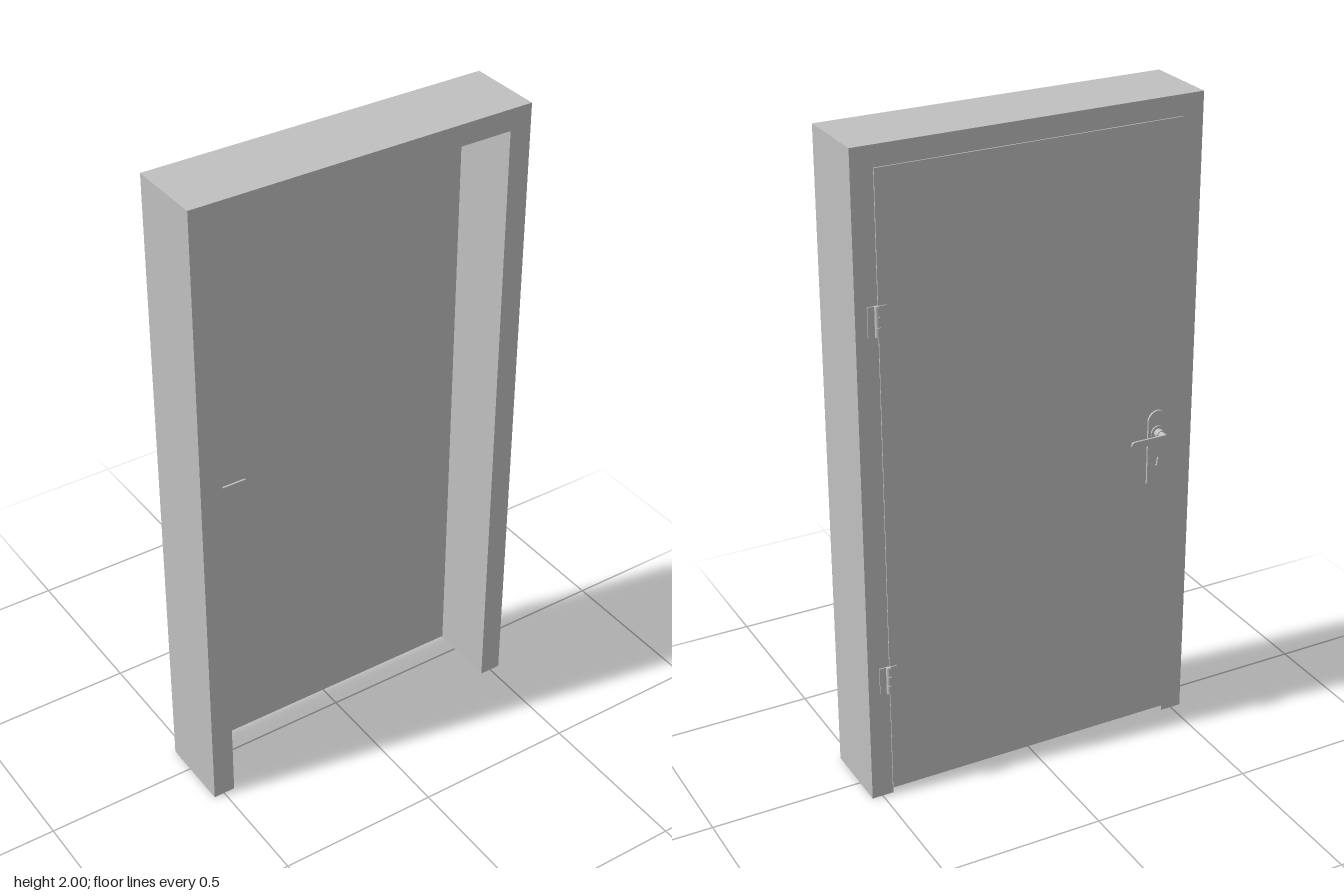
import * as THREE from 'three';

const steel = new THREE.MeshStandardMaterial({ color: 0xc0c0c0, side: THREE.DoubleSide });
steel.name = 'light grey steel';

const BACK = -0.09, FRONT = 0.145;        // frame depth
const W = 0.533, H = 2, IW = 0.465, IH = 1.935; // outer and opening half width, height
const LEAF_BACK = -0.094, LEAF_FRONT = -0.055;
const HANDLE_X = -0.411, HANDLE_Y = 0.99;

function add(parent, name, geometry, x = 0, y = 0, z = 0) {
  const mesh = new THREE.Mesh(geometry, steel);
  mesh.name = name;
  mesh.position.set(x, y, z);
  parent.add(mesh);
  return mesh;
}

function box(parent, name, x0, x1, y0, y1, z0, z1) {
  return add(parent, name, new THREE.BoxGeometry(x1 - x0, y1 - y0, z1 - z0),
    (x0 + x1) / 2, (y0 + y1) / 2, (z0 + z1) / 2);
}

// Flat strip running along an open path in x/y, spanning the frame depth
function wall(points) {
  const pos = [];
  for (let i = 0; i + 1 < points.length; i++) {
    const [ax, ay] = points[i], [bx, by] = points[i + 1];
    pos.push(ax, ay, FRONT, bx, by, BACK, bx, by, FRONT,
      ax, ay, FRONT, ax, ay, BACK, bx, by, BACK);
  }
  const g = new THREE.BufferGeometry();
  g.setAttribute('position', new THREE.Float32BufferAttribute(pos, 3));
  g.computeVertexNormals();
  return g;
}

// Hollow sheet metal frame, open at the foot of each jamb
function makeFrame() {
  const frame = new THREE.Group();
  frame.name = 'frame';
  const outer = [[-W, 0], [-W, H], [W, H], [W, 0]];
  const inner = [[IW, 0], [IW, IH], [-IW, IH], [-IW, 0]];
  const face = new THREE.ShapeGeometry(
    new THREE.Shape([...outer, ...inner].map(p => new THREE.Vector2(...p))));
  add(frame, 'frameFrontFace', face, 0, 0, FRONT);
  add(frame, 'frameBackFace', face, 0, 0, BACK).rotation.y = Math.PI;
  add(frame, 'frameOuterWall', wall(outer));
  add(frame, 'frameInnerWall', wall(inner));
  return frame;
}

// Plate with arched top and keyhole, neck and flat lever; built facing +z
function makeHandle(name) {
  const g = new THREE.Group();
  g.name = name;
  const r = 0.031, top = 1.06 - HANDLE_Y - r, bottom = 0.825 - HANDLE_Y;
  const s = new THREE.Shape();
  s.moveTo(-r, bottom);
  s.lineTo(r, bottom);
  s.lineTo(r, top);
  s.absarc(0, top, r, 0, Math.PI, false);
  s.closePath();
  const key = new THREE.Path();
  key.moveTo(-0.0035, -0.108);
  key.lineTo(-0.0035, -0.09);
  key.absarc(0, -0.085, 0.0065, Math.PI * 1.32, -Math.PI * 0.32, true);
  key.lineTo(0.0035, -0.108);
  key.closePath();
  s.holes.push(key);
  add(g, 'handlePlate', new THREE.ExtrudeGeometry(s,
    { depth: 0.006, bevelEnabled: false, curveSegments: 16 }));
  const round = (part, radius, z0, z1) => {
    add(g, part, new THREE.CylinderGeometry(radius, radius, z1 - z0, 24),
      0, 0, (z0 + z1) / 2).rotation.x = Math.PI / 2;
  };
  round('rosette', 0.022, 0, 0.01);
  round('neck', 0.014, 0.01, 0.028);
  round('neckEnd', 0.011, 0.028, 0.05);
  // Lever: long rounded bar
  const h = 0.0105, end = 0.114 - h;
  const bar = new THREE.Shape();
  bar.absarc(0, 0, h, Math.PI / 2, Math.PI * 1.5, false);
  bar.absarc(end, 0, h, -Math.PI / 2, Math.PI / 2, false);
  add(g, 'lever', new THREE.ExtrudeGeometry(bar,
    { depth: 0.006, bevelEnabled: false, curveSegments: 10 }), 0, 0, 0.047);
  return g;
}

// Barrel of three knuckles with a leaf on the door and one on the frame
function makeHinge(y) {
  const g = new THREE.Group();
  g.name = 'hinge';
  g.position.y = y;
  for (const i of [-1, 0, 1]) {
    add(g, 'knuckle', new THREE.CylinderGeometry(0.0075, 0.0075, 0.027, 16), 0.472, i * 0.03, -0.098);
  }
  add(g, 'hingePin', new THREE.CylinderGeometry(0.005, 0.005, 0.09, 12), 0.472, 0, -0.098);
  box(g, 'hingeDoorLeaf', 0.444, 0.472, -0.043, 0.043, -0.097, -0.093);
  box(g, 'hingeFrameLeaf', 0.472, 0.498, -0.043, 0.043, -0.0935, -0.0895);
  return g;
}

export function createModel() {
  const model = new THREE.Group();
  model.name = 'door';
  model.add(makeFrame());

  // Door leaf: thick core with a thin overlapping skin at the back
  box(model, 'doorCore', -0.455, 0.455, 0.02, 1.926, -0.0885, LEAF_FRONT);
  box(model, 'doorSkin', -0.469, 0.467, 0.02, 1.938, LEAF_BACK, -0.0885);

  const frontHandle = makeHandle('frontHandle');
  frontHandle.position.set(HANDLE_X, HANDLE_Y, LEAF_FRONT);
  model.add(frontHandle);
  const backHandle = makeHandle('backHandle');
  backHandle.position.set(HANDLE_X, HANDLE_Y, LEAF_BACK);
  backHandle.scale.z = -1;
  model.add(backHandle);

  for (const y of [0.397, 1.515]) model.add(makeHinge(y));
  return model;
}
